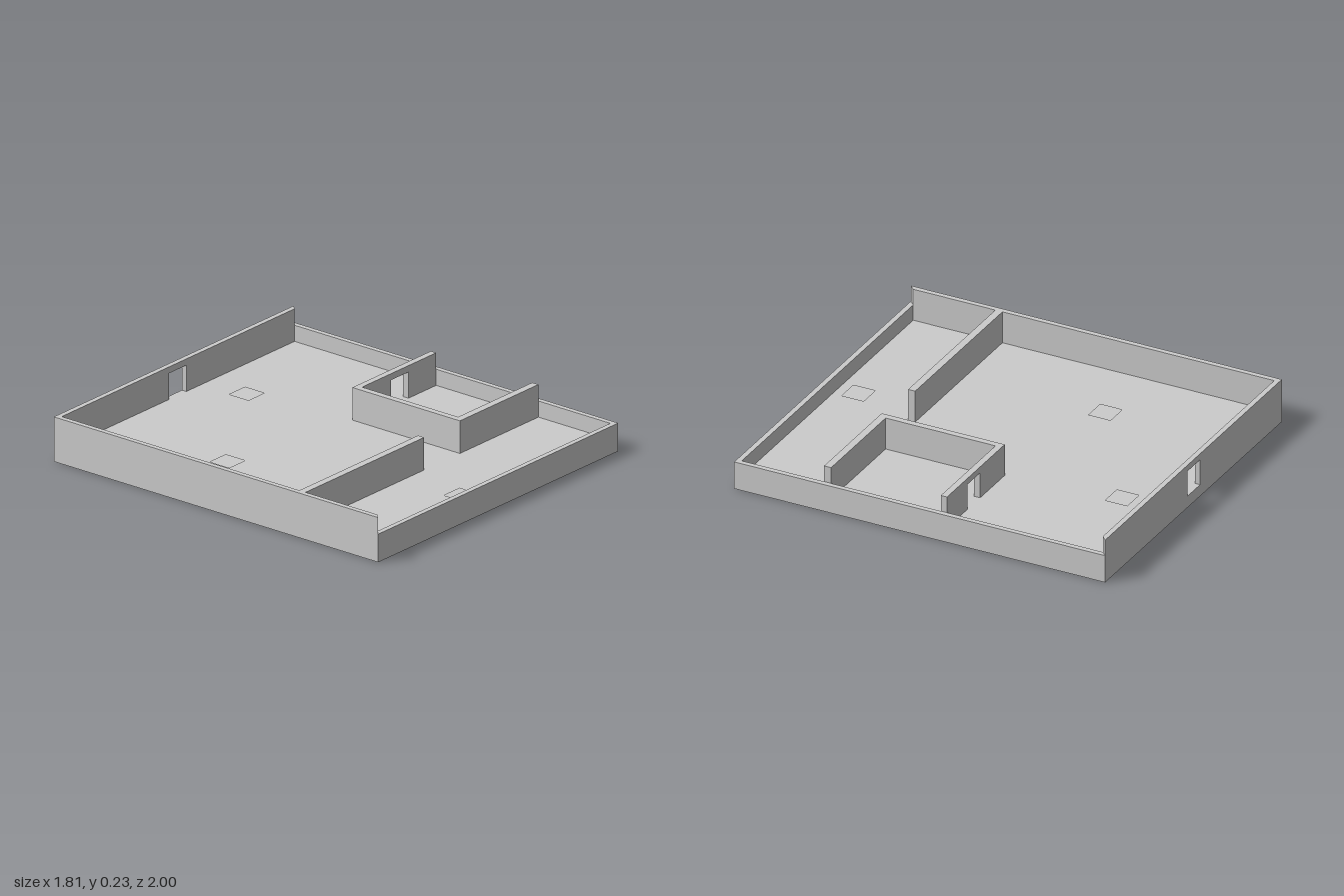
import * as THREE from 'three';

const W = 0.903, D = 1;            // half width and half depth of the plan
const T = 0.027;                   // outer wall thickness
const FLOOR = 0.062, LOW = 0.145, TOP = 0.23, DOOR = 0.197;

export function createModel() {
  const model = new THREE.Group();
  const mat = new THREE.MeshStandardMaterial({ color: 0xcccccc, flatShading: true });

  const add = (name, geometry) => {
    const mesh = new THREE.Mesh(geometry, mat);
    mesh.name = name;
    model.add(mesh);
  };

  // plan outline given as [x, z] corners
  const plan = (pts) => pts.map(([x, z]) => new THREE.Vector2(x, -z));
  const rect = (x0, x1, z0, z1) => [[x0, z0], [x1, z0], [x1, z1], [x0, z1]];

  // raise a plan outline from y0 to y1
  const raise = (name, pts, y0, y1, holes = []) => {
    const shape = new THREE.Shape(plan(pts));
    holes.forEach((h) => shape.holes.push(new THREE.Path(plan(h))));
    const g = new THREE.ExtrudeGeometry(shape, { depth: y1 - y0, bevelEnabled: false });
    g.rotateX(-Math.PI / 2);
    g.translate(0, y0, 0);
    add(name, g);
  };

  // wall along x with a doorway cut up from the floor; mitre pulls in the ends of its front face
  const doorWall = (name, x0, x1, z0, z1, d0, d1, mitre = 0) => {
    const shape = new THREE.Shape([
      [x0, FLOOR], [d0, FLOOR], [d0, DOOR], [d1, DOOR],
      [d1, FLOOR], [x1, FLOOR], [x1, TOP], [x0, TOP],
    ].map(([x, y]) => new THREE.Vector2(x, y)));
    const g = new THREE.ExtrudeGeometry(shape, { depth: z1 - z0, bevelEnabled: false });
    const p = g.attributes.position;
    for (let i = 0; i < p.count; i++) {
      if (p.getZ(i) < (z1 - z0) / 2) continue;
      const x = p.getX(i);
      if (Math.abs(x - x0) < 1e-4) p.setX(i, x0 + mitre);
      if (Math.abs(x - x1) < 1e-4) p.setX(i, x1 - mitre);
    }
    g.computeVertexNormals();
    g.translate(0, 0, z0);
    add(name, g);
  };

  // floor slab with three square recesses
  const pitFloor = 0.02, s = 0.059;
  const pits = [[0.222, -0.732], [-0.493, -0.265], [-0.112, 0.865]]
    .map(([x, z]) => rect(x - s, x + s, z - s, z + s));
  raise('slabBottom', rect(-W, W, -D, D), 0, pitFloor);
  raise('floor', rect(-W, W, -D, D), pitFloor, FLOOR, pits);

  // low walls at the front and right, mitred where they meet the tall walls
  const ix = W - T, iz = D - T;
  raise('lowWall', [[-W, D], [W, D], [W, -D], [ix, -iz], [ix, iz], [-ix, iz]], FLOOR, LOW);

  // tall side and back walls
  raise('sideWall', [[-W, -D], [-ix, -iz], [-ix, iz], [-W, D]], FLOOR, TOP);
  doorWall('backWall', -W, W, -D, -iz, -0.068, 0.061, T);

  // partitions
  raise('hallPartition', rect(-ix, 0.016, 0.492, 0.53), FLOOR, TOP);
  raise('roomFrontWall', rect(0.285, ix, 0.492, 0.53), FLOOR, TOP);
  raise('roomSideWall', rect(0.285, 0.318, -0.1, 0.492), FLOOR, TOP);
  doorWall('roomBackWall', 0.285, ix, -0.133, -0.1, 0.537, 0.667);

  return model;
}
